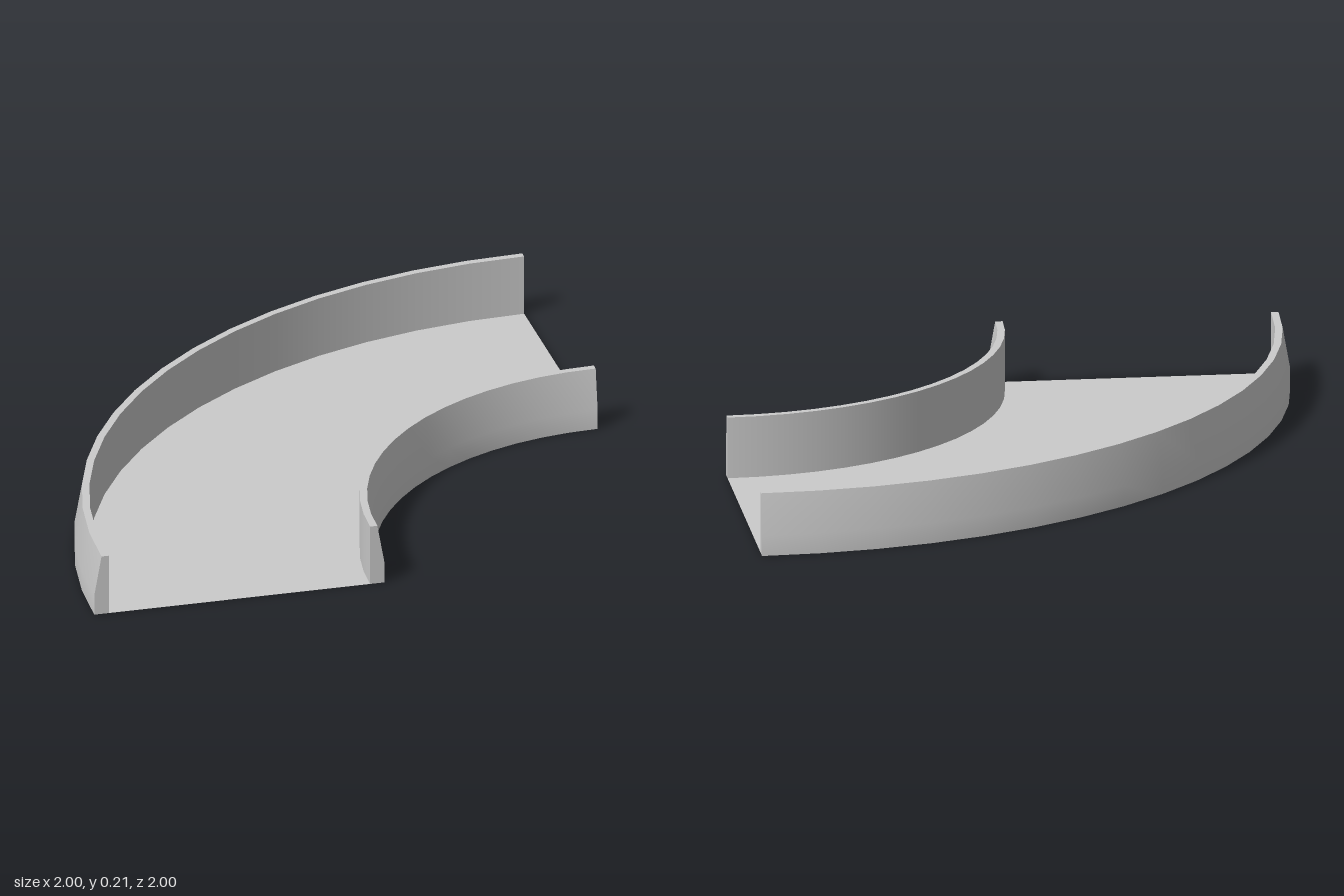
import * as THREE from 'three';

const SEGMENTS = 16;
const HEIGHT = 0.21;

// Quarter-turn track piece: flat floor between two thin tapered hollow walls.
export function createModel() {
  const group = new THREE.Group();
  const material = new THREE.MeshStandardMaterial({ color: 0xcccccc, side: THREE.DoubleSide });
  const vectors = (points) => points.map(([r, y]) => new THREE.Vector2(r, y));

  const add = (parent, name, geometry) => {
    const mesh = new THREE.Mesh(geometry, material);
    mesh.name = name;
    parent.add(mesh);
    return mesh;
  };

  // Sweeps a profile of [radius, height] points through the quarter turn
  const sweep = (parent, name, points) =>
    add(parent, name, new THREE.LatheGeometry(vectors(points), SEGMENTS, Math.PI, Math.PI / 2));

  // side = 1: wall on the outside of the bend, -1: on the inside
  const addWall = (name, radius, side) => {
    const wall = new THREE.Group();
    wall.name = name;
    const at = (inset, y) => [radius - side * inset, y];
    const profile = [at(0, 0), at(0, 0.07), at(0.025, HEIGHT), at(0.05, HEIGHT), at(0.05, 0)];
    const strip = (from, to) => {
      const points = profile.slice(from, to + 1);
      return side > 0 ? points : points.reverse();
    };
    // Separate strips keep the rim edges sharp; the underside is open
    sweep(wall, name + 'OuterFace', strip(0, 2));
    sweep(wall, name + 'Rim', strip(2, 3));
    sweep(wall, name + 'TrackFace', strip(3, 4));

    // End caps on the two cut planes
    const cap = (sign) =>
      new THREE.ShapeGeometry(new THREE.Shape(vectors(profile.map(([r, y]) => [sign * r, y]))));
    add(wall, name + 'FrontCap', cap(-1));
    add(wall, name + 'SideCap', cap(1)).rotation.y = Math.PI / 2;
    group.add(wall);
  };

  sweep(group, 'floor', [[1.95, 0], [1.05, 0]]);
  addWall('outerWall', 2, 1);
  addWall('innerWall', 1, -1);

  // The bend turns about the front left corner
  for (const part of group.children) part.position.set(1, 0, 1);
  return group;
}
